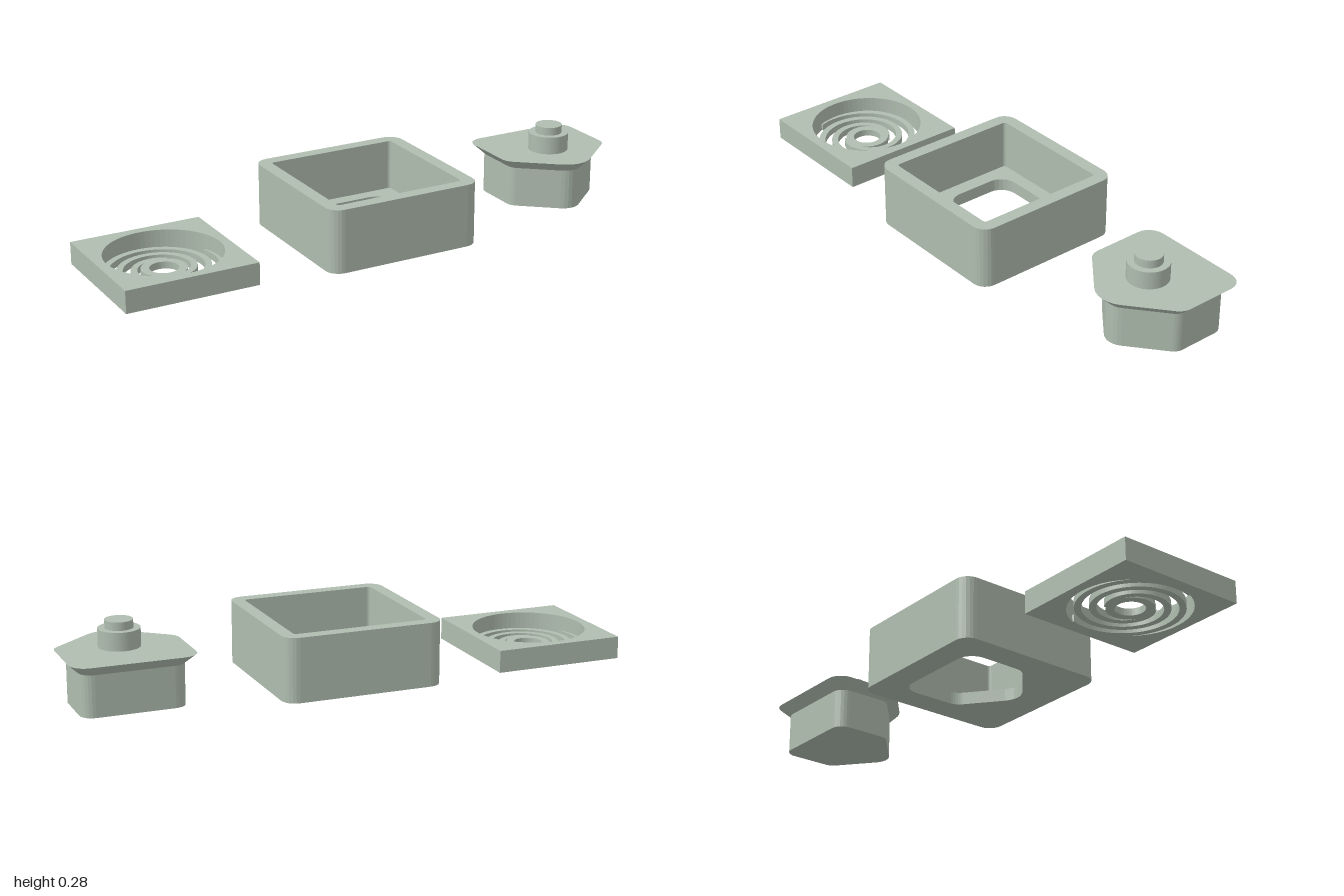
import * as THREE from 'three';

const sage = new THREE.MeshStandardMaterial({ color: 0xb0bdb0 });
sage.name = 'sage';

function mesh(name, geometry, x = 0, y = 0, z = 0) {
  const m = new THREE.Mesh(geometry, sage);
  m.name = name;
  m.position.set(x, y, z);
  return m;
}

// Counter-clockwise polygon of [x, y, radius] corners, each rounded by an arc
function rounded(corners, steps = 6) {
  const out = [];
  corners.forEach(([x, y, r], i) => {
    const p = new THREE.Vector2(x, y);
    const prev = corners[(i + corners.length - 1) % corners.length];
    const next = corners[(i + 1) % corners.length];
    const a = new THREE.Vector2(prev[0] - x, prev[1] - y).normalize();
    const b = new THREE.Vector2(next[0] - x, next[1] - y).normalize();
    const half = Math.acos(a.dot(b)) / 2;
    const c = a.clone().add(b).normalize().multiplyScalar(r / Math.sin(half)).add(p);
    const s = a.clone().multiplyScalar(r / Math.tan(half)).add(p);
    const start = Math.atan2(s.y - c.y, s.x - c.x);
    for (let k = 0; k <= steps; k++) {
      const t = start + (Math.PI - 2 * half) * k / steps;
      out.push(new THREE.Vector2(c.x + r * Math.cos(t), c.y + r * Math.sin(t)));
    }
  });
  return out;
}

const square = (h, r) => rounded([[-h, -h, r], [h, -h, r], [h, h, r], [-h, h, r]]);

// House-shaped outline with its tip towards the front (-y here, +z in the model)
const shield = (w, back, side, tip, r, tipR) =>
  rounded([[0, -tip, tipR], [w, -side, r], [w, back, r], [-w, back, r], [-w, -side, r]]);

const circle = (r, n = 72) => Array.from({ length: n }, (_, i) =>
  new THREE.Vector2(r * Math.cos(i / n * 2 * Math.PI), r * Math.sin(i / n * 2 * Math.PI)));

// Upright slab from an outline with an optional opening
function slab(outline, height, hole) {
  const s = new THREE.Shape(outline);
  if (hole) s.holes.push(new THREE.Path(hole));
  return new THREE.ExtrudeGeometry(s, { depth: height, bevelEnabled: false }).rotateX(-Math.PI / 2);
}

// Capped solid through matching outlines at given heights
function loft(sections) {
  const pos = [];
  const n = sections[0].pts.length;
  const v = (s, i) => [s.pts[i % n].x, s.y, -s.pts[i % n].y];
  const last = sections[sections.length - 1];
  for (let i = 0; i < n; i++) {
    for (let k = 0; k + 1 < sections.length; k++) {
      const lo = sections[k], hi = sections[k + 1];
      pos.push(...v(lo, i), ...v(lo, i + 1), ...v(hi, i + 1));
      pos.push(...v(lo, i), ...v(hi, i + 1), ...v(hi, i));
    }
    pos.push(0, last.y, 0, ...v(last, i), ...v(last, i + 1));
    pos.push(0, sections[0].y, 0, ...v(sections[0], i + 1), ...v(sections[0], i));
  }
  const g = new THREE.BufferGeometry();
  g.setAttribute('position', new THREE.Float32BufferAttribute(pos, 3));
  g.computeVertexNormals();
  return g;
}

// Band that winds outwards from the hub to the frame
function spiralArm(startAngle) {
  const inner = [], outer = [], n = 96, w = 0.0115;
  for (let i = 0; i <= n; i++) {
    const t = i / n, a = startAngle + t * 1.4 * 2 * Math.PI, r = 0.073 + 0.136 * t;
    outer.push(new THREE.Vector2((r + w) * Math.cos(a), (r + w) * Math.sin(a)));
    inner.push(new THREE.Vector2((r - w) * Math.cos(a), (r - w) * Math.sin(a)));
  }
  return slab([...outer, ...inner.reverse()], 0.025);
}

export function createModel() {
  const model = new THREE.Group();
  model.name = 'valveParts';

  // Square plate with a spiral spring set low in its round opening
  const plate = new THREE.Group();
  plate.name = 'springPlate';
  plate.position.set(-0.7625, 0, 0);
  const h = 0.2375;
  const corners = [[-h, -h], [h, -h], [h, h], [-h, h]].map(([x, y]) => new THREE.Vector2(x, y));
  plate.add(mesh('plateFrame', slab(corners, 0.08, circle(0.204))));
  plate.add(mesh('springHub', slab(circle(0.079), 0.025, circle(0.05))));
  for (let i = 0; i < 2; i++) {
    plate.add(mesh('springArm', spiralArm(Math.PI * (0.33 + i))));
  }
  model.add(plate);

  // Open tray with a shaped opening in the floor
  const tray = new THREE.Group();
  tray.name = 'tray';
  tray.position.set(0.008, 0, 0);
  const outer = square(0.29, 0.05), floor = 0.045;
  tray.add(mesh('trayFloor', slab(outer, floor, shield(0.188, 0.193, 0.04, 0.194, 0.06, 0.075))));
  tray.add(mesh('trayWalls', slab(outer, 0.227 - floor, square(0.243, 0.012)), 0, floor));
  model.add(tray);

  // Plug with a flared flange and a stepped knob
  const plug = new THREE.Group();
  plug.name = 'plug';
  plug.position.set(0.782, 0, 0);
  const neck = shield(0.181, 0.18, 0.03, 0.18, 0.045, 0.063);
  const flange = shield(0.217, 0.217, 0.048, 0.227, 0.058, 0.097);
  plug.add(mesh('plugBody', loft([
    { pts: neck, y: 0 }, { pts: neck, y: 0.146 }, { pts: flange, y: 0.182 },
  ])));
  plug.add(mesh('knobBase', new THREE.CylinderGeometry(0.072, 0.072, 0.064, 64), 0, 0.214));
  plug.add(mesh('knobTip', new THREE.CylinderGeometry(0.048, 0.048, 0.03, 64), 0, 0.26));
  model.add(plug);

  return model;
}
